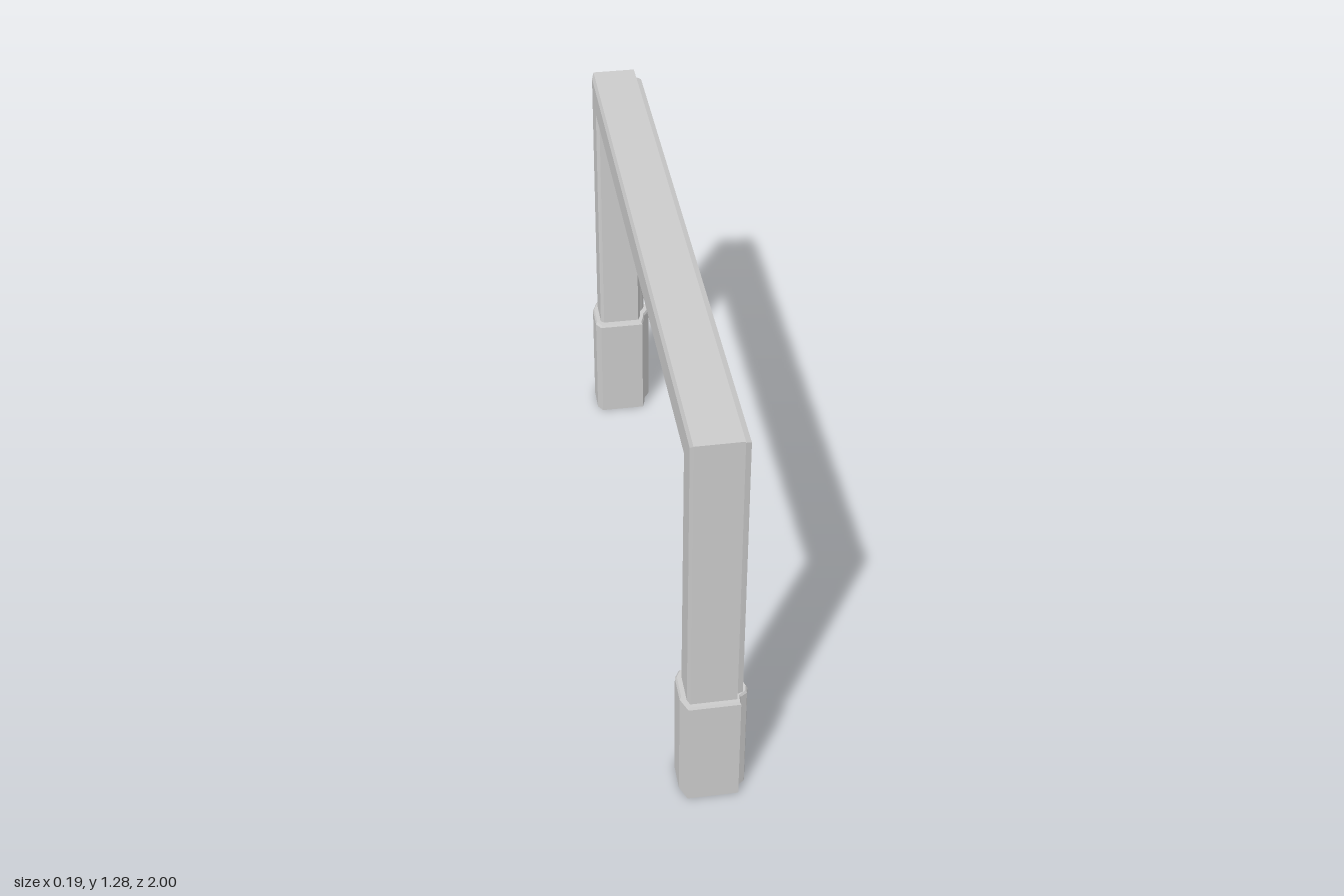
import * as THREE from 'three';

const OUTER = 0.985, TOP = 1.285, SLEEVE_H = 0.37;

// Moulded cross-sections as [x, depth inward from the outer face]
const frameProfile = [
  [-0.075, 0], [0.058, 0], [0.06, 0.018], [0.078, 0.024], [0.078, 0.04], [0.07, 0.056],
  [0.06, 0.066], [0.058, 0.09], [0.048, 0.11], [-0.072, 0.11], [-0.082, 0.1], [-0.082, 0.015],
];
const sleeveProfile = [
  [-0.082, 0], [0.066, 0], [0.07, 0.03], [0.09, 0.043], [0.095, 0.062], [0.09, 0.08],
  [0.073, 0.105], [0.07, 0.125], [0.06, 0.155], [-0.085, 0.155], [-0.1, 0.13], [-0.1, 0.045],
];

// Joins consecutive closed rings of [x, y, z] points with quads
function loft(name, rings) {
  const n = rings[0].length, index = [];
  for (let r = 0; r < rings.length - 1; r++) {
    for (let i = 0; i < n; i++) {
      const j = (i + 1) % n, a = r * n + i, b = r * n + j, c = b + n, d = a + n;
      index.push(a, b, c, a, c, d);
    }
  }
  const indexed = new THREE.BufferGeometry();
  indexed.setAttribute('position', new THREE.Float32BufferAttribute(rings.flat(2), 3));
  indexed.setIndex(index);
  const geometry = indexed.toNonIndexed();
  geometry.computeVertexNormals();
  const mesh = new THREE.Mesh(geometry, new THREE.MeshStandardMaterial({ color: 0xcccccc, flatShading: true }));
  mesh.name = name;
  return mesh;
}

// The legs thicken slightly towards the floor
const legRing = (side, y) => {
  const k = 1 + 0.09 * (TOP - y) / (TOP - SLEEVE_H);
  return frameProfile.map(([x, d]) => [x, y, side * (OUTER - d * k)]);
};
const cornerRing = (side) => frameProfile.map(([x, d]) => [x, TOP - d, side * (OUTER - d)]);

// Hollow foot sleeve with a bevelled shoulder closing onto the leg
function sleeve(side, name) {
  const ring = (y, k) => sleeveProfile.map(([x, d]) => [x * k, y, side * (0.922 + (0.078 - d) * k)]);
  const rings = [
    ring(0.35, 0), ring(0.35, 0.89), ring(0, 0.89), ring(0, 1),
    ring(SLEEVE_H - 0.008, 1), ring(SLEEVE_H, 0.95), legRing(side, SLEEVE_H),
  ];
  if (side < 0) rings.forEach((r) => r.reverse());
  return loft(name, rings);
}

export function createModel() {
  const group = new THREE.Group();
  group.name = 'portalFrame';
  // Mitred moulding: up one leg, across the lintel, down the other leg
  group.add(loft('mouldedFrame', [legRing(1, 0.36), cornerRing(1), cornerRing(-1), legRing(-1, 0.36)]));
  group.add(sleeve(1, 'frontFootSleeve'), sleeve(-1, 'backFootSleeve'));
  return group;
}
